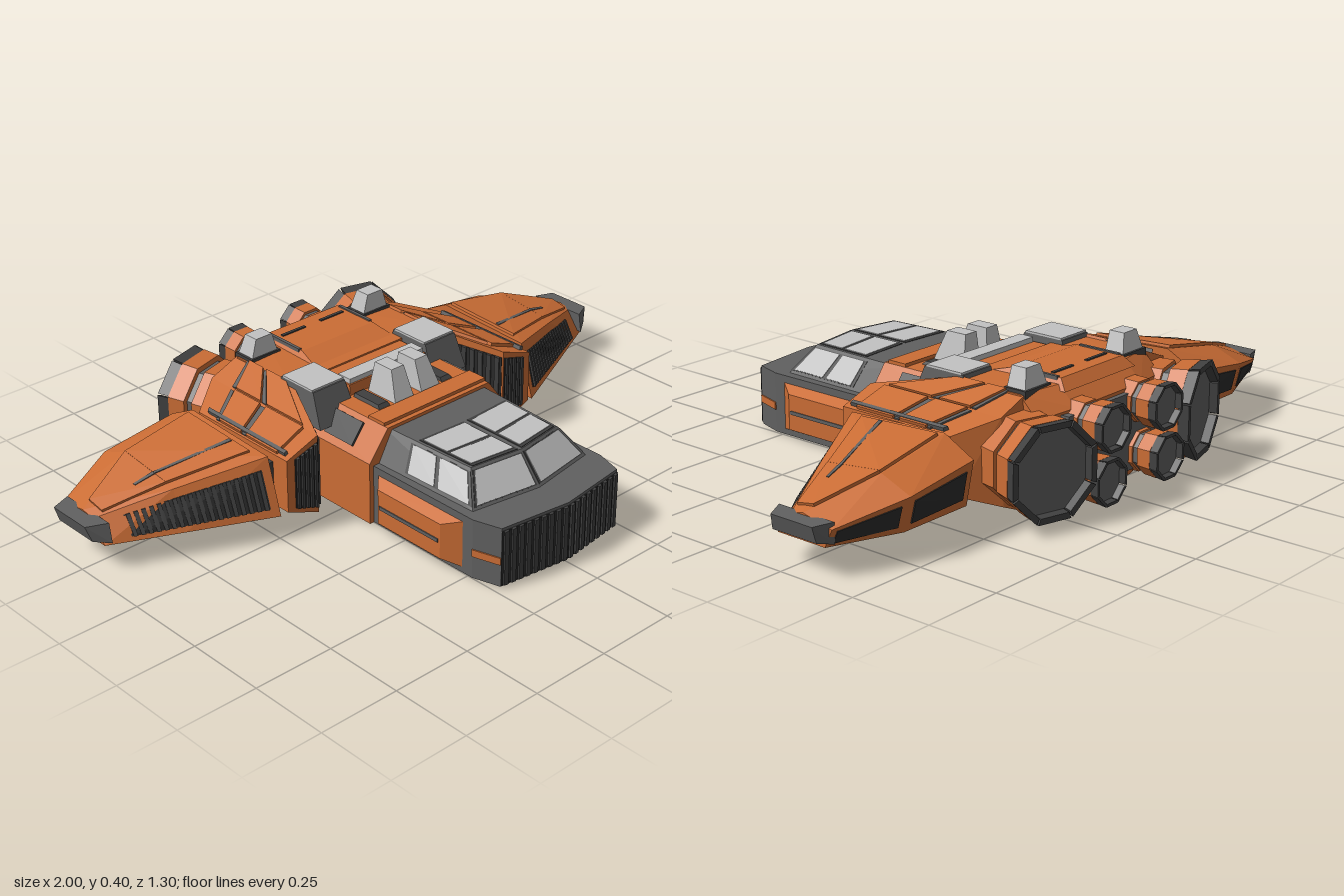
import * as THREE from 'three';
import { ConvexGeometry } from 'three/addons/geometries/ConvexGeometry.js';

const paint = (name, color) => {
  const m = new THREE.MeshStandardMaterial({ color, flatShading: true });
  m.name = name;
  return m;
};
const ORANGE = paint('orange paint', 0xcb6d35);
const GREY = paint('grey metal', 0x606060);
const DARK = paint('dark metal', 0x404040);
const BLACK = paint('black recess', 0x2c2c2c);
const LIGHT = paint('light panel', 0xc2c2c2);

export function createModel() {
  const root = new THREE.Group();
  root.name = 'spaceship';

  // Convex block from its corner points
  const solid = (name, mat, pts, parent = root) => {
    const mesh = new THREE.Mesh(new ConvexGeometry(pts.map((p) => new THREE.Vector3(...p))), mat);
    mesh.name = name;
    parent.add(mesh);
    return mesh;
  };
  // Block tapering from a bottom rectangle to a top one: [x0, x1, z0, z1] each
  const taper = (name, mat, y0, b, y1, t) => solid(name, mat,
    [[y0, b], [y1, t]].flatMap(([y, r]) => [[r[0], y, r[2]], [r[1], y, r[2]], [r[1], y, r[3]], [r[0], y, r[3]]]));
  const box = (name, mat, x0, x1, y0, y1, z0, z1) => taper(name, mat, y0, [x0, x1, z0, z1], y1, [x0, x1, z0, z1]);
  // Thin plate on part of a four-cornered face
  const plate = (name, mat, quad, u0, u1, v0, v1, t = 0.004) => {
    const [a, b, c, d] = quad.map((p) => new THREE.Vector3(...p));
    const at = (u, v) => a.clone().lerp(b, u).lerp(d.clone().lerp(c, u), v);
    const n = b.clone().sub(a).cross(d.clone().sub(a)).normalize();
    const pts = [];
    for (const [u, v] of [[u0, v0], [u1, v0], [u1, v1], [u0, v1]]) {
      for (const k of [-t, t]) pts.push(at(u, v).addScaledVector(n, k).toArray());
    }
    return solid(name, mat, pts);
  };
  // Dark grille with upright bars
  const grille = (name, quad, n, u0 = 0.04, u1 = 0.96, v0 = 0.08, v1 = 0.92) => {
    plate(name, BLACK, quad, u0, u1, v0, v1, 0.003);
    const w = (u1 - u0) / n;
    for (let i = 0; i < n; i++) plate(name + 'Bar', DARK, quad, u0 + w * (i + 0.2), u0 + w * (i + 0.75), v0, v1, 0.009);
  };

  // Nose and canopy
  const levels = (plan, y0, y1) => plan.flatMap(([x, z]) => [-1, 1].flatMap((s) => [[x * s, y0, z], [x * s, y1, z]]));
  solid('noseBody', GREY, levels([[0, 0.635], [0.23, 0.605], [0.255, 0.52], [0.255, 0.05]], 0.005, 0.19));
  const low = [[0, 0.19, 0.525], [0.225, 0.19, 0.49], [0.235, 0.19, 0.08]];
  const high = [[0, 0.28, 0.45], [0.17, 0.278, 0.425], [0.185, 0.28, 0.08]];
  const flip = (p, s) => [p[0] * s, p[1], p[2]];
  solid('canopy', GREY, [...low, ...high].flatMap((p) => [p, flip(p, -1)]));

  // Neck behind the nose
  solid('neck', ORANGE, [[0.27, 0.005], [0.27, 0.2], [0.2, 0.29], [-0.2, 0.29], [-0.27, 0.2], [-0.27, 0.005]]
    .flatMap(([x, y]) => [[x, y, 0.125], [x, y, -0.25]]));
  box('neckBand', ORANGE, -0.2, 0.2, 0.28, 0.3, 0.045, 0.11);
  box('neckDeck', ORANGE, -0.15, 0.15, 0.27, 0.325, -0.25, -0.09);
  box('sensorBar', LIGHT, -0.145, 0.145, 0.3, 0.34, -0.145, -0.095);
  box('bellyStripe', GREY, -0.11, 0.11, -0.001, 0.01, -0.05, -0.025);

  // Central hull with its raised spine
  solid('centreHull', ORANGE, [-1, 1].flatMap((s) => [
    [0.28, 0, -0.2], [0.28, 0.33, -0.2], [0.28, 0.33, -0.44], [0.28, 0.27, -0.5], [0.28, 0.05, -0.5], [0.28, 0, -0.46],
    [0.15, 0.335, -0.47], [0.15, 0.28, -0.53], [0.15, 0.04, -0.53], [0.15, 0, -0.5],
  ].map((p) => flip(p, s))));
  taper('spine', ORANGE, 0.32, [-0.16, 0.16, -0.5, -0.2], 0.35, [-0.14, 0.14, -0.47, -0.31]);
  box('rearBulkhead', GREY, -0.2, 0.2, 0.04, 0.27, -0.545, -0.45);

  // Octagonal engine pointing backward
  const engine = (name, r, len, pos, turn = 0) => {
    const g = new THREE.Group();
    g.name = name;
    const drum = (part, mat, k0, k1, z0, z1) => {
      const geo = new THREE.CylinderGeometry(r * k1, r * k0, (z1 - z0) * len, 8);
      geo.rotateY(Math.PI / 8).rotateX(-Math.PI / 2).translate(0, 0, -len * (z0 + z1) / 2);
      const mesh = new THREE.Mesh(geo, mat);
      mesh.name = part;
      g.add(mesh);
    };
    drum('engineBase', ORANGE, 0.9, 0.88, -0.3, 0.3);
    drum('engineNeck', GREY, 0.8, 0.8, 0.3, 0.48);
    drum('engineCollar', ORANGE, 0.92, 0.95, 0.45, 0.8);
    drum('engineFace', GREY, 0.84, 0.84, 0.75, 0.86);
    for (let i = 0; i < 8; i++) {
      const pts = [];
      for (const e of [0.025, 0.975]) {
        const a = (i + e + 0.5) * Math.PI / 4;
        const f = 1 / (Math.abs(e - 0.5) > 0.4 ? 1.02 : 1);
        for (const [k, z] of [[0.84, 0.78], [0.95, 0.78], [1, 1.02], [0.87, 1.02]]) {
          pts.push([Math.cos(a) * r * k * f, Math.sin(a) * r * k * f, -z * len]);
        }
      }
      solid('engineRim', DARK, pts, g);
    }
    g.position.set(...pos);
    g.rotation.y = turn;
    root.add(g);
  };

  for (const s of [-1, 1]) {
    const m = (...pts) => pts.map((p) => flip(p, s));
    const sideBox = (name, mat, x0, x1, ...rest) => box(name, mat, x0 * s, x1 * s, ...rest);

    // Nose grille, side stripe and side pod
    grille('noseGrille', m([0, 0.005, 0.635], [0.23, 0.005, 0.605], [0.23, 0.19, 0.605], [0, 0.19, 0.635]), 9, 0, 1, 0.03, 0.95);
    const cheek = m([0.23, 0.005, 0.605], [0.255, 0.005, 0.52], [0.255, 0.19, 0.52], [0.23, 0.19, 0.605]);
    plate('cheekStripe', ORANGE, cheek, 0, 1, 0.38, 0.5);
    const pod = m([0.29, 0.04, 0.43], [0.29, 0.04, 0.18], [0.29, 0.15, 0.18], [0.29, 0.15, 0.43]);
    solid('sidePod', ORANGE, [...m([0.25, 0.02, 0.49], [0.25, 0.02, 0.14], [0.25, 0.17, 0.14], [0.25, 0.17, 0.49]), ...pod]);
    plate('podStripe', GREY, pod, 0.03, 0.97, 0.45, 0.55, 0.003);

    // Canopy glass: windscreen, sides and roof, with dark frames
    const [l0, l1, l2] = m(...low), [h0, h1, h2] = m(...high);
    const front = [l0, l1, h1, h0], side = [l1, l2, h2, h1], roof = [h0, h1, h2, [0, 0.28, 0.08]];
    for (const [face, u0, u1, v0, v1] of [
      [front, 0.05, 0.94, 0.1, 0.9], [side, 0.03, 0.32, 0.12, 0.88], [side, 0.36, 0.61, 0.12, 0.88],
      [roof, 0.07, 0.92, 0.04, 0.27], [roof, 0.07, 0.92, 0.3, 0.56]]) {
      plate('windowFrame', DARK, face, u0 - 0.03, u1 + 0.03, v0 - 0.03, v1 + 0.03, 0.002);
      plate('window', LIGHT, face, u0, u1, v0, v1, 0.004);
    }

    // Neck windows, forward fins and deck panels
    const bevel = m([0.27, 0.2, 0.125], [0.27, 0.2, -0.2], [0.2, 0.29, -0.2], [0.2, 0.29, 0.125]);
    plate('neckWindow', DARK, bevel, 0.26, 0.62, 0.2, 0.85, 0.008);
    taper('finBase', DARK, 0.28, [0.1 * s, 0.15 * s, -0.08, 0.04], 0.3, [0.105 * s, 0.14 * s, -0.08, 0.02]);
    taper('forwardFin', LIGHT, 0.28, [0.015 * s, 0.09 * s, -0.08, 0.04], 0.38, [0.022 * s, 0.07 * s, -0.07, 0]);
    taper('deckBox', GREY, 0.24, [0.15 * s, 0.29 * s, -0.26, -0.06], 0.343, [0.16 * s, 0.28 * s, -0.24, -0.1]);
    sideBox('deckPanel', LIGHT, 0.16, 0.28, 0.34, 0.349, -0.235, -0.105);

    // Rear deck turret
    sideBox('turretBase', DARK, 0.165, 0.275, 0.31, 0.34, -0.455, -0.38);
    taper('turret', LIGHT, 0.33, [0.17 * s, 0.27 * s, -0.45, -0.385], 0.397, [0.19 * s, 0.25 * s, -0.437, -0.387]);
    sideBox('spineSlit', DARK, 0.03, 0.12, 0.345, 0.354, -0.43, -0.42);
    sideBox('spineStripe', GREY, 0.135, 0.145, 0.33, 0.354, -0.46, -0.32);

    // Shoulder: inner and outer parts, ending at the wing joint
    const A = m([0.27, 0, -0.2], [0.27, 0.33, -0.2], [0.27, 0.33, -0.45], [0.27, 0, -0.48]);
    const B = m([0.37, 0.04, 0.02], [0.37, 0.29, 0.02], [0.37, 0.29, -0.45], [0.37, 0.04, -0.46]);
    const C = m([0.483, 0.085, 0.02], [0.483, 0.25, 0.02], [0.483, 0.25, -0.37], [0.483, 0.085, -0.39]);
    solid('innerShoulder', ORANGE, [...A, ...B]);
    solid('outerShoulder', ORANGE, [...B, ...C]);
    grille('innerIntake', [A[0], B[0], B[1], A[1]], 8, 0.1, 0.98);
    grille('outerIntake', [B[0], C[0], C[1], B[1]], 5, 0.03, 0.75);
    for (const [P, Q] of [[A, B], [B, C]]) {
      const top = [P[1], Q[1], Q[2], P[2]];
      plate('shoulderPlate', ORANGE, top, 0.02, 0.95, 0.12, 0.46, 0.01);
      plate('shoulderPlate', ORANGE, top, 0.02, 0.95, 0.52, 0.76, 0.01);
      plate('shoulderStripe', GREY, top, 0.05, 0.95, 0.47, 0.51, 0.005);
      plate('shoulderStripe', GREY, top, 0.05, 0.95, 0.77, 0.8, 0.005);
    }
    plate('shoulderEdge', GREY, [B[1], C[1], C[2], B[2]], 0.8, 0.9, 0.05, 0.9, 0.012);
    sideBox('wingJoint', DARK, 0.47, 0.52, 0.11, 0.225, -0.36, -0.04);

    // Wing: cross-sections at root, middle and tip
    const [R, M, T] = [[0.505, 0.015, -0.47, 0.252, 0.266], [0.75, -0.1, -0.47, 0.197, 0.222], [0.955, -0.197, -0.39, 0.145, 0.155]]
      .map(([x, zf, zb, yf, yt]) => m([x, 0.08, zf], [x, yf, zf - 0.05], [x, yt, zb + 0.1], [x, 0.08 + (yt - 0.08) * 0.72, zb], [x, 0.08, zb + 0.025]));
    solid('innerWing', ORANGE, [...R, ...M]);
    solid('outerWing', ORANGE, [...M, ...T]);
    grille('wingGrille', [R[0], T[0], T[1], R[1]], 18, 0.05, 0.84, 0.15, 0.82);
    for (const [P, Q, u0, u1] of [[R, M, 0.08, 1], [M, T, 0, 0.85]]) {
      plate('wingPlate', ORANGE, [P[1], Q[1], Q[2], P[2]], u0, u1, 0.14, 0.98, 0.009);
      plate('wingRearRecess', BLACK, [P[4], Q[4], Q[3], P[3]], 0.1, 0.92, 0.2, 0.82, 0.004);
    }
    plate('wingStripe', GREY, [R[1], M[1], M[2], R[2]], 0.1, 1, 0.35, 0.39, 0.012);
    plate('wingStripe', GREY, [M[1], T[1], T[2], M[2]], 0, 0.3, 0.35, 0.4, 0.012);
    solid('wingTip', GREY, m([0.94, 0.09, -0.18], [0.94, 0.15, -0.19], [0.94, 0.15, -0.385], [0.94, 0.09, -0.385],
      [0.985, 0.1, -0.21], [1, 0.148, -0.22], [1, 0.148, -0.365], [0.985, 0.1, -0.365]));

    // One large angled engine and two small ones on each side
    engine('largeEngine', 0.15, 0.155, [0.302 * s, 0.167, -0.463], -0.27 * s);
    engine('smallUpperEngine', 0.072, 0.125, [0.122 * s, 0.24, -0.52]);
    engine('smallLowerEngine', 0.072, 0.125, [0.135 * s, 0.09, -0.52]);
  }
  return root;
}
